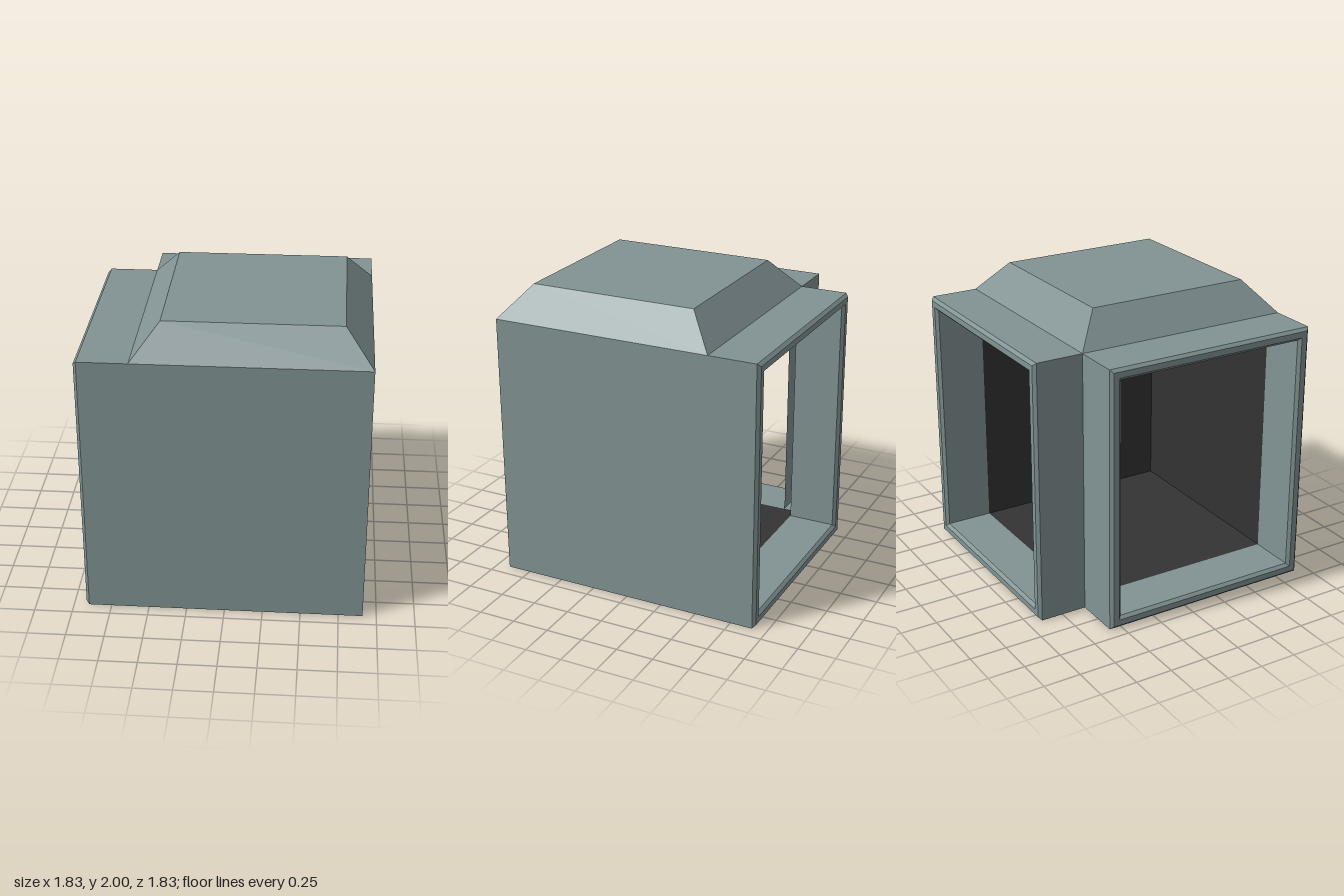
import * as THREE from 'three';

const LO = -0.58, HI = 0.91, TOP = 1.79, WALL = 0.08;

// Joins rectangular rings [a0, a1, b0, b1, depth] with flat faces
function loft(rings, place, flip = false) {
  const pos = [];
  const loops = rings.map(([a0, a1, b0, b1, d]) =>
    [[a0, b0], [a1, b0], [a1, b1], [a0, b1]].map(([a, b]) => place(a, b, d)));
  for (let r = 0; r + 1 < loops.length; r++) {
    for (let k = 0; k < 4; k++) {
      const n = (k + 1) % 4, p = loops[r], q = loops[r + 1];
      const tris = [[p[k], q[k], q[n]], [p[k], q[n], p[n]]];
      for (const t of tris) pos.push(...(flip ? t.reverse() : t).flat());
    }
  }
  const g = new THREE.BufferGeometry();
  g.setAttribute('position', new THREE.Float32BufferAttribute(pos, 3));
  g.computeVertexNormals();
  return g;
}

export function createModel() {
  const group = new THREE.Group();
  const panel = new THREE.MeshStandardMaterial({ color: 0x829394, side: THREE.DoubleSide });
  panel.name = 'grey panel';
  const dark = new THREE.MeshStandardMaterial({ color: 0x333333, side: THREE.DoubleSide });
  dark.name = 'dark interior';

  const add = (name, geometry, material) => {
    const m = new THREE.Mesh(geometry, material);
    m.name = name;
    group.add(m);
    return m;
  };
  const sheet = (name, w, h, material, position, rx = 0, ry = 0) => {
    const m = add(name, new THREE.PlaneGeometry(w, h), material);
    m.position.set(...position);
    m.rotation.set(rx, ry, 0);
  };

  // Two doorway arms: outer skin, bevelled rim, inner lining
  const profile = [[0, LO], [0, -0.9], [0.02, -0.92], [0.06, -0.92], [WALL, -0.9], [WALL, LO]];
  const rings = profile.map(([i, d]) => [LO + i, HI - i, i, TOP - i, d]);
  add('backDoorway', loft(rings, (a, b, d) => [a, b, d]), panel);
  add('sideDoorway', loft(rings, (a, b, d) => [d, b, a], true), panel);

  // Outer walls, open underneath
  const size = HI - LO, mid = (HI + LO) / 2;
  sheet('frontWall', size, TOP, panel, [mid, TOP / 2, HI]);
  sheet('sideWall', size, TOP, panel, [HI, TOP / 2, mid], 0, Math.PI / 2);

  // Raised roof with sloping sides
  const s = 0.18;
  add('roofSlopes', loft([
    [LO, HI, LO, HI, TOP],
    [LO + s, HI - s, LO + s, HI - s, 2],
  ], (a, b, d) => [a, d, b]), panel);
  sheet('roofTop', size - 2 * s, size - 2 * s, panel, [mid, 2, mid], -Math.PI / 2);

  // Dark room lining, flush with the doorway linings
  const inner = HI - WALL, room = inner - LO, c = (inner + LO) / 2;
  const height = TOP - 2 * WALL;
  sheet('floor', room, room, dark, [c, WALL, c], -Math.PI / 2);
  sheet('ceiling', room, room, dark, [c, TOP - WALL, c], Math.PI / 2);
  sheet('frontLining', room, height, dark, [c, TOP / 2, inner], 0, Math.PI);
  sheet('sideLining', room, height, dark, [inner, TOP / 2, c], 0, -Math.PI / 2);

  return group;
}
